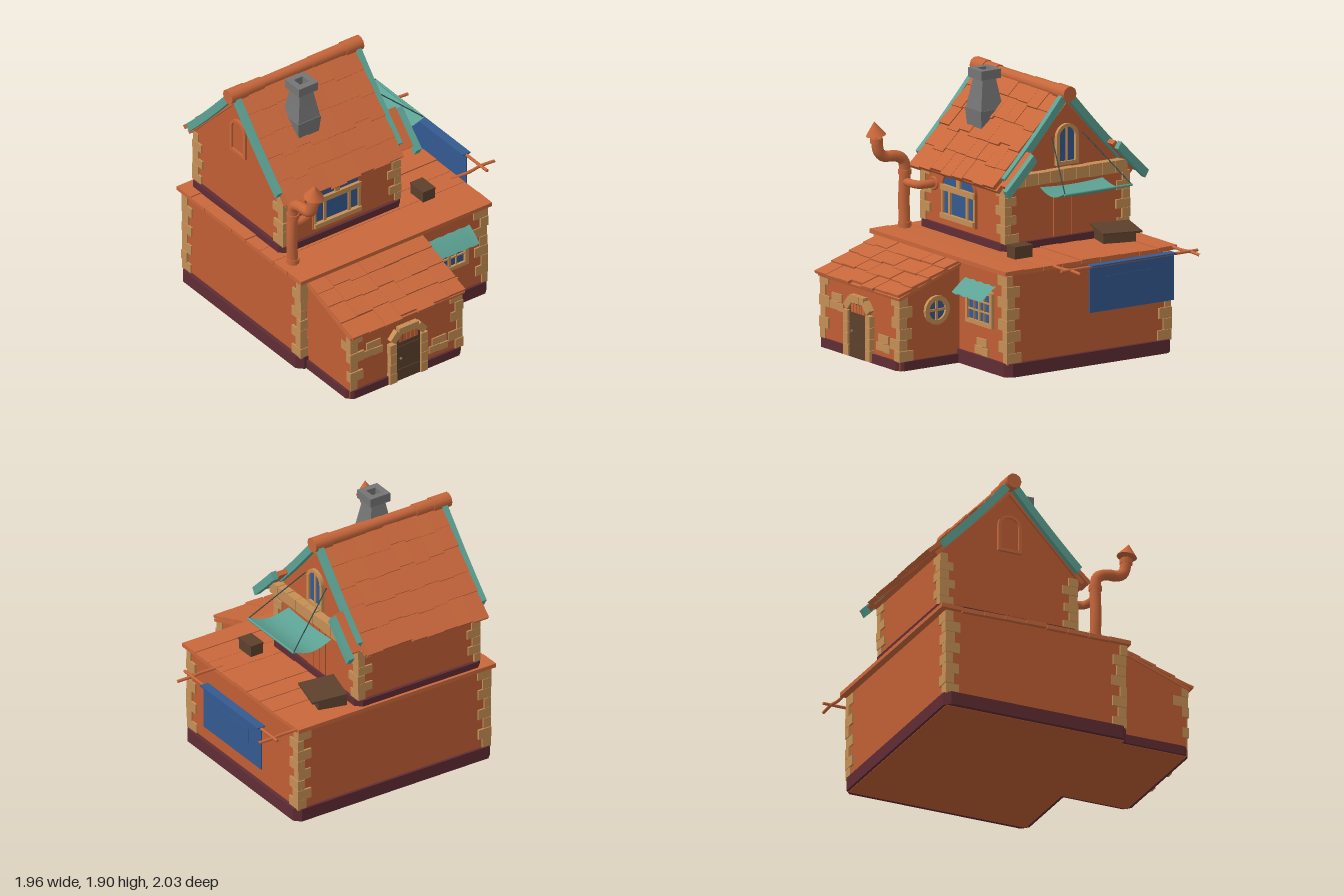
import * as THREE from 'three';

const mat = (name, color, side = THREE.FrontSide) => {
  const m = new THREE.MeshStandardMaterial({ color, side });
  m.name = name;
  return m;
};

export function createModel() {
  const wall = mat('terracotta plaster', 0xc05e34), tile = mat('clay tile', 0xc8673b);
  const plum = mat('plum plinth', 0x5f2c33), stone = mat('sandstone', 0xc68f55);
  const wood = mat('dark wood', 0x5c402c), blue = mat('blue', 0x345a90);
  const teal = mat('teal', 0x5ca294, THREE.DoubleSide), grey = mat('grey stone', 0x757575);
  const dark = mat('dark rope', 0x2c4a48);
  const root = new THREE.Group();
  let seed = 7;
  const rnd = (a = -1, b = 1) => {
    seed = (seed * 16807) % 2147483647;
    return a + (b - a) * seed / 2147483647;
  };

  // helpers
  const add = (name, geo, m, x = 0, y = 0, z = 0, parent = root) => {
    const o = new THREE.Mesh(geo, m);
    o.name = name;
    o.position.set(x, y, z);
    parent.add(o);
    return o;
  };
  const box = (name, m, x, y, z, w, h, d, parent = root) =>
    add(name, new THREE.BoxGeometry(w, h, d), m, x, y, z, parent);
  const group = (name, x = 0, y = 0, z = 0, ry = 0, parent = root) => {
    const g = new THREE.Group();
    g.name = name;
    g.position.set(x, y, z);
    g.rotation.y = ry;
    parent.add(g);
    return g;
  };
  const poly = pts => new THREE.Shape(pts.map(p => new THREE.Vector2(p[0], p[1])));
  const extrude = (shape, depth) =>
    new THREE.ExtrudeGeometry(shape, { depth, bevelEnabled: false, curveSegments: 8 });
  // profile in (z, y), running from x1 towards -x
  const prism = (name, m, pts, x1, depth, z = 0, parent = root) => {
    const o = add(name, extrude(poly(pts), depth), m, x1, 0, z, parent);
    o.rotation.y = -Math.PI / 2;
    return o;
  };
  const tube = (name, m, pts, r, tension = 0.5) =>
    add(name, new THREE.TubeGeometry(new THREE.CatmullRomCurve3(
      pts.map(p => new THREE.Vector3(...p)), false, 'catmullrom', tension), 40, r, 10), m);
  const rod = (name, m, a, b, r) => {
    const s = new THREE.Vector3(...a), e = new THREE.Vector3(...b), d = e.clone().sub(s);
    const o = add(name, new THREE.CylinderGeometry(r, r, d.length(), 8), m, ...s.clone().add(e).multiplyScalar(0.5).toArray());
    o.quaternion.setFromUnitVectors(new THREE.Vector3(0, 1, 0), d.normalize());
    return o;
  };
  const arch = (w, h, r, inset = 0, T = THREE.Shape) => {
    const a = w / 2 - inset, b = h - inset, q = Math.max(r - inset, 0.005), s = new T();
    s.moveTo(-a, inset);
    s.lineTo(a, inset);
    s.lineTo(a, b - q);
    s.absarc(a - q, b - q, q, 0, Math.PI / 2);
    s.lineTo(-a + q, b);
    s.absarc(-a + q, b - q, q, Math.PI / 2, Math.PI);
    s.lineTo(-a, inset);
    return s;
  };
  const archWindow = (name, g, w, h, r, frame, pane, t = 0.025, frameMat = stone) => {
    add(name + 'Pane', extrude(arch(w, h, r, t * 0.5), 0.006), pane, 0, 0, 0, g);
    const s = arch(w, h, r);
    s.holes.push(arch(w, h, r, t, THREE.Path));
    add(name + 'Frame', extrude(s, frame), frameMat, 0, 0, 0, g);
  };
  const plinth = (name, x0, x1, z0, z1, y, h) => {
    const c = 0.045;
    const o = add(name, extrude(poly([[x0 + c, -z1], [x1 - c, -z1], [x1, -z1 + c], [x1, -z0 - c],
      [x1 - c, -z0], [x0 + c, -z0], [x0, -z0 - c], [x0, -z1 + c]]), h), plum, 0, y, 0);
    o.rotation.x = -Math.PI / 2;
  };
  // stones alternating along the two faces of a corner
  const quoins = (x, z, sx, sz, y0, y1, n) => {
    const g = group('cornerStones'), h = (y1 - y0) / n;
    for (let i = 0; i < n; i++) {
      const lx = (i % 2 ? 0.11 : 0.06) + rnd() * 0.012, lz = (i % 2 ? 0.06 : 0.11) + rnd() * 0.012;
      const p = 0.012 + rnd() * 0.004;
      box('cornerStone', stone, x + sx * (p - lx / 2), y0 + h * (i + 0.5), z + sz * (p - lz / 2), lx, h * 0.97, lz, g);
    }
  };
  // overlapping tiles laid down a slope
  const tiles = (name, g, x0, x1, cols, len, rows, th) => {
    const w = (x1 - x0) / cols, l = len / rows;
    box(name + 'Underlay', tile, (x0 + x1) / 2, -th * 1.3, len / 2, x1 - x0, th, len, g);
    for (let r = 0; r < rows; r++) for (let c = 0; c < cols; c++) {
      const o = box(name, tile, x0 + w * (c + 0.5), rnd() * 0.004, l * (r + 0.5) + rnd() * 0.018, w * 0.985, th, l * 1.18, g);
      o.rotation.x = -0.07;
      o.rotation.z = rnd() * 0.015;
    }
  };

  // lower storey and porch
  box('lowerWalls', wall, -0.16, 0.365, -0.22, 1.58, 0.73, 1.36);
  plinth('lowerPlinth', -0.98, 0.66, -0.92, 0.48, 0.003, 0.095);
  prism('porchWalls', wall, [[0.4, 0], [0.96, 0], [0.96, 0.52], [0.4, 0.71]], 0.05, 0.95);
  plinth('porchPlinth', -0.92, 0.07, 0.42, 0.98, 0.003, 0.065);
  for (const [x, z, sx, sz] of [[0.63, 0.46, 1, 1], [0.63, -0.9, 1, -1], [-0.95, -0.9, -1, -1], [-0.95, 0.46, -1, 1]])
    quoins(x, z, sx, sz, 0.09, 0.72, 8);
  quoins(0.05, 0.96, 1, 1, 0.065, 0.53, 6);
  quoins(-0.89, 0.96, -1, 1, 0.065, 0.53, 6);
  const porchRoof = group('porchRoof', 0, 0.735, 0.44);
  porchRoof.rotation.x = Math.atan2(0.2, 0.55);
  tiles('porchTile', porchRoof, -0.91, 0.07, 7, 0.585, 4, 0.02);

  // flat roof boards
  for (let i = 0; i < 9; i++)
    box('deckBoard', tile, -0.16, 0.742 + rnd() * 0.004, 0.419 - i * 0.161, 1.64, 0.03, 0.158).rotation.x = rnd() * 0.015;

  // upper storey with gables
  prism('upperWalls', wall, [[0.13, 0.75], [0.13, 1.2], [-0.385, 1.74], [-0.9, 1.2], [-0.9, 0.75]], 0.13, 0.99);
  plinth('upperPlinth', -0.89, 0.155, -0.925, 0.155, 0.755, 0.052);
  for (const [x, sx] of [[0.13, 1], [-0.86, -1]]) for (const [z, sz] of [[0.13, 1], [-0.9, -1]])
    quoins(x, z, sx, sz, 0.805, 1.2, 6);

  // main roof, same on both slopes
  for (const ry of [0, Math.PI]) {
    const side = group('roofSlope', 0, 0, -0.385, ry), k = ry ? -1 : 1;
    const slope = group('roofTiles', 0, 1.815, 0, 0, side);
    slope.rotation.x = Math.atan(1.04);
    const ends = ry ? [-0.11, 0.88] : [-0.88, 0.11];
    tiles('roofTile', slope, ...ends, 8, 0.85, 5, 0.03);
    box('sideEaveTile', tile, k * 0.18, -0.02, 0.66, 0.085, 0.035, 0.3, slope);
    // curved barge boards
    const bargeBoard = (name, x, from, to, w) => {
      const top = [], low = [];
      for (let i = 0; i <= 8; i++) {
        const t = from + (to - from) * i / 8, y = 1.86 - 1.2 * t + 0.2 * t * t;
        top.push([t, y]);
        low.unshift([t - 0.03, y - 0.05]);
      }
      prism(name, teal, [...top, ...low].reverse(), x * k + w / 2, w, 0, side);
    };
    bargeBoard('bargeBoard', 0.13, 0.02, 0.535, 0.042);
    bargeBoard('bargeBoard', -0.9, 0.02, 0.535, 0.042);
    bargeBoard('eaveBoard', 0.245, 0.37, 0.6, 0.045);
  }
  for (let i = 0; i < 8; i++) {
    const r = i % 7 ? 0.045 + rnd() * 0.004 : 0.055;
    add('ridgeTile', new THREE.CylinderGeometry(r, r, 0.145, 10), tile, -0.885 + i * 0.141, 1.81, -0.385).rotation.z = Math.PI / 2;
  }

  // chimney
  const taper = (y0, y1, a, b) => {
    const g = new THREE.CylinderGeometry(b * Math.SQRT1_2, a * Math.SQRT1_2, y1 - y0, 4, 1).rotateY(Math.PI / 4).toNonIndexed();
    g.computeVertexNormals();
    add('chimneyStack', g, grey, -0.505, (y0 + y1) / 2, -0.14);
  };
  taper(1.48, 1.62, 0.17, 0.195);
  taper(1.62, 1.72, 0.185, 0.15);
  taper(1.72, 1.84, 0.15, 0.11);
  for (const [x, z, w, d] of [[-0.06, 0, 0.045, 0.165], [0.06, 0, 0.045, 0.165], [0, -0.06, 0.08, 0.045], [0, 0.06, 0.08, 0.045]])
    box('chimneyCap', grey, -0.505 + x, 1.868, -0.14 + z, w, 0.065, d);

  // stove pipe
  tube('stovePipe', tile, [[-0.88, 0.75, 0.27], [-0.89, 0.95, 0.27], [-0.88, 1.18, 0.27], [-0.88, 1.25, 0.3],
    [-0.88, 1.275, 0.37], [-0.88, 1.28, 0.44], [-0.88, 1.32, 0.49], [-0.88, 1.42, 0.51]], 0.04);
  for (const [y, z] of [[0.78, 0.27], [1.15, 0.27], [1.4, 0.507]])
    add('pipeCollar', new THREE.CylinderGeometry(0.046, 0.046, 0.035, 12), tile, -0.88, y, z);
  add('pipeCap', new THREE.ConeGeometry(0.072, 0.1, 12), tile, -0.88, 1.49, 0.52).rotation.x = 0.15;
  rod('pipeCapStem', tile, [-0.88, 1.4, 0.51], [-0.88, 1.46, 0.52], 0.012);
  tube('branchPipe', tile, [[-0.88, 1.08, 0.27], [-0.8, 1.08, 0.27], [-0.74, 1.08, 0.25], [-0.72, 1.08, 0.2], [-0.72, 1.08, 0.12]], 0.03);
  add('pipeFlange', new THREE.TorusGeometry(0.038, 0.012, 8, 16), tile, -0.72, 1.08, 0.135);

  // large upper window
  const upperWin = group('upperWindow', -0.41, 0.85, 0.13);
  archWindow('upperWindow', upperWin, 0.41, 0.35, 0.11, 0.02, blue, 0.014, wall);
  box('windowCrossbar', stone, 0, 0.23, 0.015, 0.4, 0.04, 0.03, upperWin);
  box('windowSill', stone, 0, 0.03, 0.018, 0.4, 0.035, 0.036, upperWin);
  box('windowMullion', stone, 0, 0.29, 0.012, 0.04, 0.09, 0.02, upperWin);
  for (const s of [-1, 1]) {
    box('windowMullion', stone, s * 0.105, 0.13, 0.012, 0.02, 0.18, 0.02, upperWin);
    box('windowPost', stone, s * 0.19, 0.13, 0.012, 0.018, 0.18, 0.02, upperWin);
  }

  // gable window and blind niche
  const gableWin = group('gableWindow', 0.13, 1.31, -0.38, Math.PI / 2);
  archWindow('gableWindow', gableWin, 0.185, 0.29, 0.092, 0.025, blue, 0.025);
  box('gableWindowBar', stone, 0, 0.14, 0.01, 0.015, 0.26, 0.016, gableWin);
  const niche = group('gableNiche', -0.86, 1.3, -0.38, -Math.PI / 2);
  archWindow('gableNiche', niche, 0.18, 0.28, 0.09, 0.02, wall, 0.022, tile);

  // side door and stone lintel
  for (let i = 0; i < 3; i++) box('sideDoorPlank', wall, 0.132, 0.98, -0.31 - i * 0.075, 0.012, 0.34, 0.072);
  for (let i = 0; i < 9; i++) box('lintelStone', stone, 0.155, 1.25, 0.06 - i * 0.108, 0.08, 0.085 + rnd() * 0.005, 0.104);

  // hanging canopy and its ropes, window awning
  const sheet = (name, fn) => {
    const g = new THREE.PlaneGeometry(1, 1, 8, 8), p = g.attributes.position;
    for (let i = 0; i < p.count; i++) p.setXYZ(i, ...fn(p.getX(i) + 0.5, p.getY(i)));
    g.computeVertexNormals();
    return add(name, g, teal);
  };
  sheet('canopy', (u, v) => [0.19 + 0.33 * u, 1.19 + 0.015 * u - 0.045 * Math.sin(Math.PI * u) - 0.012 * Math.cos(Math.PI * v), -0.385 - v * (0.53 + 0.05 * u)]);
  rod('canopyBar', teal, [0.515, 1.197, -0.1], [0.515, 1.197, -0.67], 0.009);
  for (const s of [-1, 1]) rod('canopyRope', dark, [0.14, 1.52, -0.385 + s * 0.13], [0.515, 1.2, -0.385 + s * 0.28], 0.004);
  sheet('awning', (u, v) => [0.31 + 0.365 * v, 0.62 - 0.075 * u - 0.02 * u * u + 0.004 * Math.cos(v * 25), 0.455 + 0.125 * u]);

  // front window
  const win = group('frontWindow', 0.31, 0.315, 0.46);
  archWindow('frontWindow', win, 0.32, 0.26, 0.02, 0.025, blue, 0.03);
  for (const x of [-0.06, 0, 0.06]) box('windowBar', stone, x, 0.13, 0.01, x ? 0.008 : 0.022, 0.22, 0.018, win);
  for (const y of [0.1, 0.17]) box('windowBar', stone, 0, y, 0.01, 0.27, 0.01, 0.018, win);

  // round porch window
  const round = group('roundWindow', 0.05, 0.4, 0.66, Math.PI / 2);
  add('roundPane', new THREE.CircleGeometry(0.08, 24), blue, 0, 0, 0.006, round);
  const ring = new THREE.Shape().absarc(0, 0, 0.103, 0, Math.PI * 2);
  ring.holes.push(new THREE.Path().absarc(0, 0, 0.07, 0, Math.PI * 2));
  add('roundFrame', extrude(ring, 0.025), stone, 0, 0, 0, round);
  box('roundBar', stone, 0, 0, 0.01, 0.15, 0.016, 0.016, round);
  box('roundBar', stone, 0, 0, 0.01, 0.016, 0.15, 0.016, round);

  // front door with stone surround
  const door = group('frontDoor', -0.42, 0.01, 0.96);
  add('doorPanel', extrude(arch(0.21, 0.385, 0.05), 0.024), wood, 0, 0, 0, door);
  for (let i = 0; i < 5; i++) box('doorGrille', tile, -0.068 + i * 0.034, 0.345, 0.024, 0.028, 0.06, 0.008, door);
  for (const y of [0.08, 0.27]) box('doorBand', wood, 0, y, 0.024, 0.19, 0.02, 0.01, door);
  add('doorKnob', new THREE.SphereGeometry(0.01, 10, 8), grey, -0.065, 0.18, 0.032, door);
  for (const s of [-1, 1]) {
    for (let i = 0; i < 4; i++) box('jambStone', stone, s * 0.132, 0.04 + i * 0.081, 0.015, 0.055 + rnd() * 0.004, 0.078, 0.05, door);
    box('archStone', stone, s * 0.11, 0.375, 0.015, 0.085, 0.055, 0.05, door).rotation.z = -s * 0.85;
  }
  for (const x of [-0.056, 0, 0.056]) box('archStone', stone, x, 0.412, 0.015, 0.053, 0.055, 0.05, door);

  // exposed wall stones
  for (const [x, y, z] of [[-0.71, 0.35, 0.96], [-0.15, 0.16, 0.96], [0.32, 0.16, 0.46]])
    for (const [dx, dy, w] of [[0.01, 0.035, 0.12], [-0.03, -0.025, 0.09], [0.05, -0.03, 0.07]])
      box('wallStone', stone, x + dx, y + dy, z, w, 0.055, 0.02);

  // banner on poles
  for (const z of [-0.92, 0.09])
    tube('bannerPole', tile, [[0.6, 0.752, z], [0.75, 0.75, z + 0.008], [0.86, 0.753, z - 0.004], [0.98, 0.75, z]], 0.011);
  rod('bannerRail', tile, [0.86, 0.758, 0.17], [0.86, 0.758, -0.98], 0.011);
  box('bannerFold', blue, 0.86, 0.766, -0.425, 0.065, 0.01, 0.71);
  box('banner', blue, 0.86, 0.6, -0.425, 0.008, 0.335, 0.71);
  box('bannerPatch', blue, 0.864, 0.625, -0.415, 0.006, 0.11, 0.42);

  // crates on the flat roof
  box('smallCrate', wood, 0.325, 0.8, 0.145, 0.1, 0.085, 0.145);
  box('smallCrateLid', wood, 0.325, 0.838, 0.145, 0.108, 0.014, 0.155);
  const crate = group('largeCrate', 0.26, 0.755, -0.7, -0.25);
  box('crateBox', wood, 0, 0.04, 0, 0.21, 0.08, 0.24, crate);
  box('crateLid', wood, 0.03, 0.09, 0, 0.26, 0.015, 0.29, crate).rotation.z = -0.08;
  return root;
}
